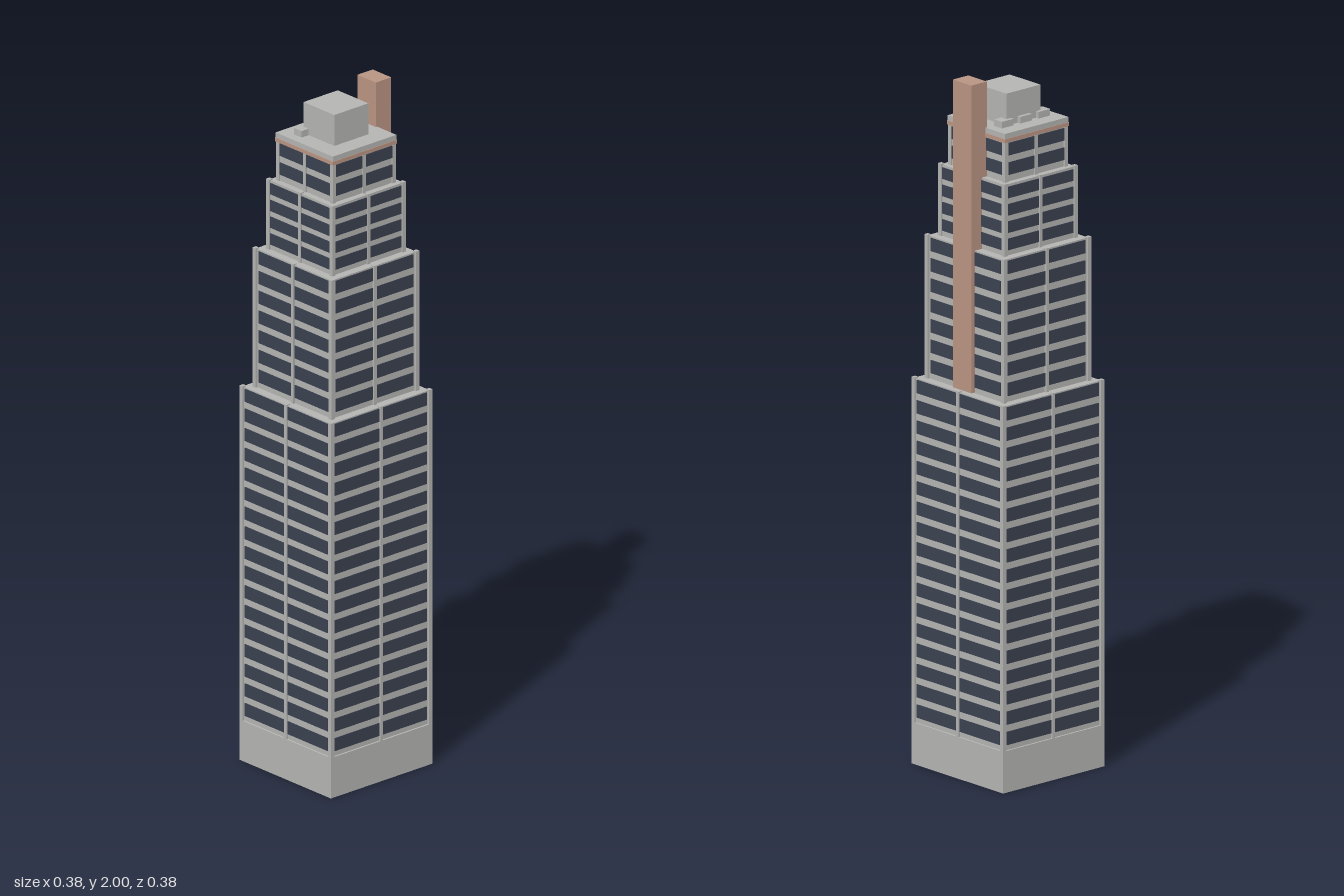
import * as THREE from 'three';
import { mergeGeometries } from 'three/addons/utils/BufferGeometryUtils.js';

// Box from size, horizontal centre and bottom height
function box(w, h, d, x, y, z) {
  return new THREE.BoxGeometry(w, h, d).translate(x, y + h / 2, z);
}

// Repeat a list of front-side geometries on all four sides
function fourSides(list) {
  const out = [];
  for (let i = 0; i < 4; i++) {
    for (const g of list) out.push(g.clone().rotateY(i * Math.PI / 2));
  }
  return out;
}

export function createModel() {
  const concrete = new THREE.MeshStandardMaterial({ color: 0xb4b4b2 });
  concrete.name = 'concrete';
  const glass = new THREE.MeshStandardMaterial({ color: 0x3a4150 });
  glass.name = 'darkGlass';
  const brick = new THREE.MeshStandardMaterial({ color: 0xb99482 });
  brick.name = 'paleBrick';

  const model = new THREE.Group();
  model.name = 'steppedTower';
  const add = (parent, name, geometry, material) => {
    const mesh = new THREE.Mesh(geometry, material);
    mesh.name = name;
    parent.add(mesh);
  };

  // Plain ground floor
  add(model, 'base', box(0.375, 0.12, 0.375, 0, 0, 0), concrete);

  // Stepped tiers: half = outer face of piers, wall = core face, win = half width of the window bands
  const tiers = [
    { y0: 0.12, y1: 1.114, half: 0.1875, wall: 0.182, win: 0.17, rows: 17, first: 0.154, step: 0.0584, h: 0.038 },
    { y0: 1.11, y1: 1.525, half: 0.1625, wall: 0.156, win: 0.143, rows: 7, first: 1.147, step: 0.0586, h: 0.038 },
    { y0: 1.52, y1: 1.73, half: 0.136, wall: 0.131, win: 0.122, rows: 4, first: 1.554, step: 0.0498, h: 0.033 },
    { y0: 1.725, y1: 1.852, half: 0.117, wall: 0.1125, win: 0.106, rows: 2, first: 1.764, step: 0.056, h: 0.036 },
  ];
  tiers.forEach((t, i) => {
    const tier = new THREE.Group();
    tier.name = 'tier' + (i + 1);
    model.add(tier);
    const height = t.y1 - t.y0;
    add(tier, 'core', box(2 * t.wall, height - 0.003, 2 * t.wall, 0, t.y0, 0), concrete);

    // Corner piers and the slim pier in the middle of each side
    const pier = 0.0125;
    const c = t.half - pier / 2;
    const piers = fourSides([
      box(pier, height, pier, c, t.y0, c),
      box(0.01, height, pier, 0, t.y0, c),
    ]);
    add(tier, 'piers', mergeGeometries(piers), concrete);

    // Two window bands per floor on every side
    const bands = [];
    const w = t.win - 0.005;
    for (let r = 0; r < t.rows; r++) {
      const y = t.first + r * t.step - t.h / 2;
      for (const s of [-1, 1]) {
        bands.push(box(w, t.h, 0.004, s * (0.005 + w / 2), y, t.wall + 0.0005));
      }
    }
    add(tier, 'windows', mergeGeometries(fourSides(bands)), glass);
  });

  // Roof: coloured cornice line, slab, plant room and vents
  add(model, 'corniceStripe', box(0.238, 0.011, 0.238, 0, 1.842, 0), brick);
  add(model, 'roofSlab', box(0.235, 0.016, 0.235, 0, 1.852, 0), concrete);
  add(model, 'plantRoom', box(0.126, 0.092, 0.126, 0, 1.868, 0), concrete);
  for (const x of [-0.068, 0, 0.068]) {
    add(model, 'roofVent', box(0.043, 0.019, 0.032, x, 1.868, -0.058), concrete);
  }

  // Tall shaft rising from the first setback on the +x side
  add(model, 'shaft', box(0.057, 0.886, 0.076, 0.1415, 1.114, 0), brick);

  return model;
}
